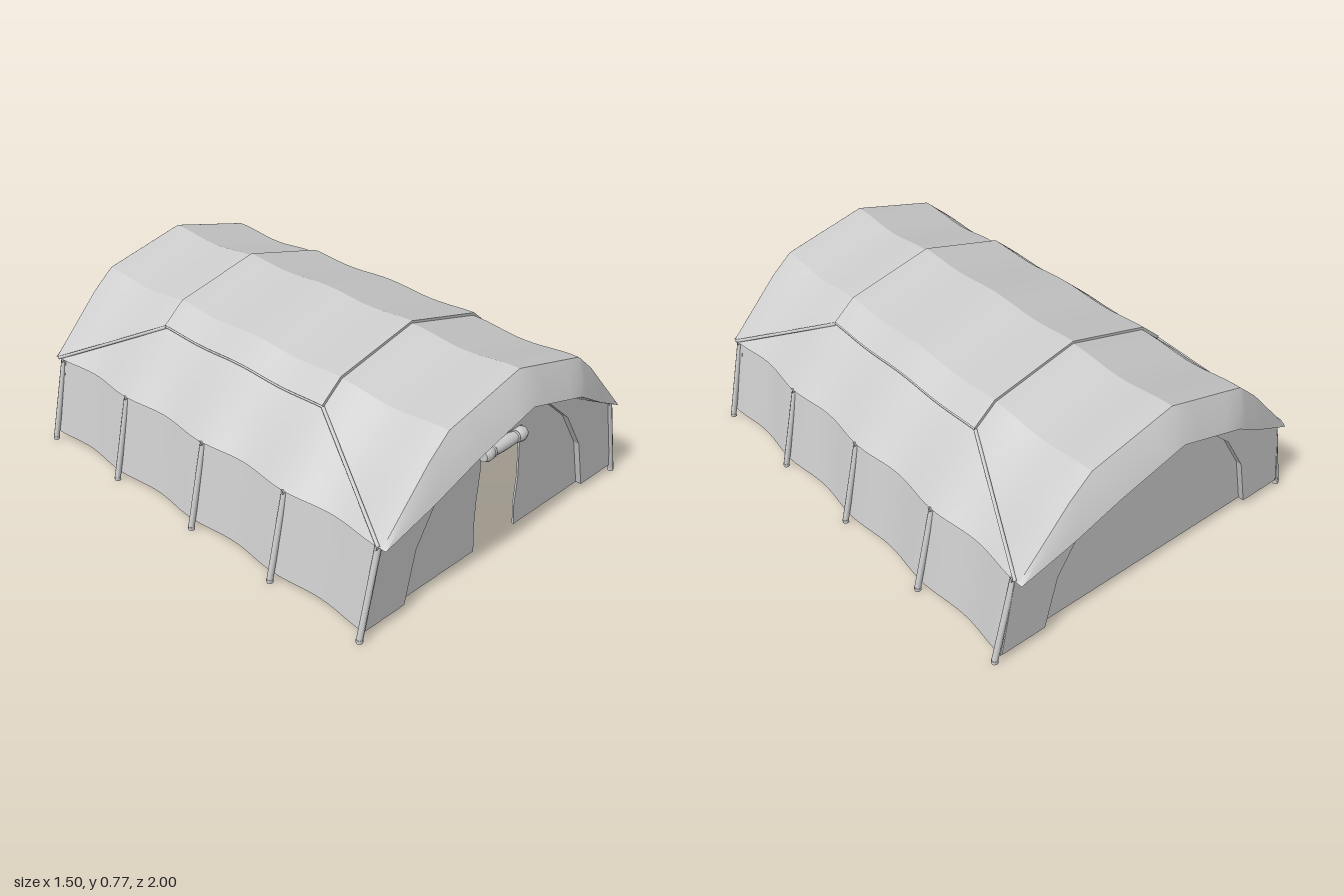
import * as THREE from 'three';
import { toCreasedNormals } from 'three/addons/utils/BufferGeometryUtils.js';

const cloth = new THREE.MeshStandardMaterial({ color: 0xcccccc, side: THREE.DoubleSide });
const solid = new THREE.MeshStandardMaterial({ color: 0xcccccc });
const BAY = 0.455, FLOOR = 0.032;
const POLE_Z = [0.9, 0.46, 0.02, -0.45, -0.89];

// Half profiles, eave to ridge: [x, y] or [x, y, z]
const ROOF = [[0.667, 0.355], [0.452, 0.588], [0.36, 0.667], [0, 0.757]];
const DIP = [0, 0.012, 0.017, 0.018];
const RIM = [[0.662, 0.35, 0.938], [0.47, 0.453, 0.972], [0.29, 0.56, 1], [0, 0.638, 1]];
const WALL_TOP = [[0.65, 0.345, 0.902], [0.46, 0.44, 0.902], [0.29, 0.535, 0.902], [0, 0.605, 0.902]];
const LINER = [[0.7, FLOOR], [0.632, 0.352], [0.437, 0.57], [0.352, 0.644], [0, 0.734]];

const { lerp } = THREE.MathUtils;
const V = (x, y, z = 0) => new THREE.Vector3(x, y, z);
const steps = (a, b, n) => Array.from({ length: n + 1 }, (_, i) => a + (b - a) * i / n);
// Canvas sag between two frames: 0 at a frame, 1 in the middle of a bay
const sag = z => Math.sin(Math.PI * z / BAY) ** 2;

function part(group, name, geometry, material = cloth) {
  const mesh = new THREE.Mesh(geometry, material);
  mesh.name = name;
  group.add(mesh);
  return mesh;
}

// Full left-to-right row of points from a half profile
function fullRow(half) {
  const right = half.map(([x, y, z]) => V(x, y, z));
  const left = half.slice(0, -1).map(([x, y, z]) => V(-x, y, z));
  return [...left, ...right.reverse()];
}

// Half profile with every segment split into four
function refine(half) {
  return steps(0, half.length - 1, (half.length - 1) * 4).map(t => {
    const i = Math.min(Math.floor(t), half.length - 2);
    return half[i].map((v, k) => lerp(v, half[i + 1][k], t - i));
  });
}

// Surface through rows of points
function loft(rows, crease = 0.4) {
  const n = rows[0].length, index = [];
  for (let i = 0; i < rows.length - 1; i++) {
    for (let j = 0; j < n - 1; j++) {
      const a = i * n + j, b = a + n;
      index.push(a, b, a + 1, a + 1, b, b + 1);
    }
  }
  const g = new THREE.BufferGeometry().setFromPoints(rows.flat());
  g.setIndex(index);
  return toCreasedNormals(g, crease);
}

// Roof point: t runs from the eave (0) to the ridge (3); the middle bays hang tighter
function roofPoint(t, z, side = 1, lift = 0) {
  const i = Math.min(Math.floor(t), 2), f = t - i;
  const slack = sag(z) * (Math.abs(z) < BAY ? 0.7 : 1);
  const x = lerp(ROOF[i][0], ROOF[i + 1][0], f);
  const y = lerp(ROOF[i][1], ROOF[i + 1][1], f) - lerp(DIP[i], DIP[i + 1], f) * slack;
  const inset = Math.max(0, 1 - t) * 0.022 * sag(z);
  return V(side * (x - inset + (x > 0 ? lift * 0.5 : 0)), y + lift, z);
}

function roofRow(z, ts, lift = 0) {
  const left = ts.slice(0, -1).map(t => roofPoint(t, z, -1, lift));
  return [...left, ...ts.map(t => roofPoint(t, z, 1, lift)).reverse()];
}

function rod(points, radius, segments = 1) {
  return new THREE.TubeGeometry(new THREE.CatmullRomCurve3(points), segments, radius, 8);
}

// Arch of the recessed end panel
const ARCH = [[0.52, FLOOR], [0.47, 0.24], [0.37, 0.4], [0.22, 0.53], [0, 0.565]];
const archPoints = () => fullRow(ARCH).map(p => new THREE.Vector2(p.x, p.y));

function buildEnd(hasDoor) {
  const end = new THREE.Group();

  // Projecting hood and its soffit
  const seam = ROOF.map(([x, y]) => [x, y, 0.925]);
  const mid = seam.map((p, i) => p.map((v, k) => (v + RIM[i][k]) / 2 + (k > 0 && i > 0 ? 0.004 : 0)));
  part(end, 'hood', loft([seam, mid, RIM].map(half => fullRow(refine(half)))));
  part(end, 'hoodUnderside', loft([RIM, WALL_TOP].map(half => fullRow(refine(half)))));

  // Gable wall up to the roof with an arched cut-out; its depth forms the reveal
  const gable = ROOF.map(([x, y]) => [Math.max(0, x - 0.006), y - 0.006]);
  const outline = [
    new THREE.Vector2(-0.715, FLOOR),
    ...fullRow(gable).map(p => new THREE.Vector2(p.x, p.y)),
    new THREE.Vector2(0.715, FLOOR),
    ...archPoints().reverse(),
  ];
  const frame = new THREE.ExtrudeGeometry(new THREE.Shape(outline), { depth: 0.03, bevelEnabled: false });
  part(end, 'endWall', frame.translate(0, 0, 0.872));

  // Recessed panel, with a slightly uneven doorway at the front
  const panel = archPoints();
  if (hasDoor) {
    panel.push(...[
      [0.117, FLOOR], [0.108, 0.12], [0.117, 0.25], [0.108, 0.38], [0.112, 0.47],
      [-0.118, 0.47], [-0.113, 0.38], [-0.125, 0.25], [-0.128, 0.15], [-0.121, FLOOR],
    ].map(([x, y]) => new THREE.Vector2(x, y)));
  }
  const panelGeo = new THREE.ExtrudeGeometry(new THREE.Shape(panel), { depth: 0.008, bevelEnabled: false });
  part(end, 'endPanel', panelGeo.translate(0, 0, 0.87));

  // Rolled-up door flap, pinched by two straps
  if (hasDoor) {
    const profile = [[0, -0.117], [0.022, -0.117], [0.029, -0.1], [0.027, -0.078], [0.021, -0.066],
      [0.024, -0.045], [0.025, 0], [0.024, 0.045], [0.021, 0.066], [0.027, 0.078],
      [0.029, 0.1], [0.022, 0.117], [0, 0.117]].map(([r, h]) => new THREE.Vector2(r, h));
    const roll = part(end, 'rolledDoor', toCreasedNormals(new THREE.LatheGeometry(profile, 14), 0.7));
    roll.rotation.z = Math.PI / 2;
    roll.position.set(-0.005, 0.445, 0.888);
    for (const x of [-0.071, 0.061]) {
      const strap = part(end, 'doorStrap', new THREE.TorusGeometry(0.022, 0.004, 6, 14), solid);
      strap.rotation.y = Math.PI / 2;
      strap.position.set(x, 0.445, 0.888);
    }
  }
  return end;
}

function buildSide(side) {
  const group = new THREE.Group();
  group.name = side > 0 ? 'leftSide' : 'rightSide';

  // Scalloped side wall
  const rows = steps(-0.902, 0.902, 48).map(z => {
    const s = sag(z);
    const ends = [V(side * (0.72 - 0.02 * s), FLOOR, z), V(side * (0.66 - 0.022 * s), 0.357, z)];
    return side > 0 ? ends.reverse() : ends;
  });
  part(group, 'sideWall', loft(rows));

  // Leaning poles with a small eave peg
  for (const z of POLE_Z) {
    part(group, 'pole', rod([V(side * 0.738, 0.003, z), V(side * 0.655, 0.355, z)], 0.012), solid);
    const foot = part(group, 'poleFoot', new THREE.CylinderGeometry(0.013, 0.013, 0.014, 8), solid);
    foot.position.set(side * 0.736, 0.007, z);
    part(group, 'eavePeg', rod([V(side * 0.645, 0.345, z), V(side * 0.674, 0.352, z)], 0.009), solid);
  }

  // Taut hip seams from the raised middle sheet to the corners
  for (const end of [-1, 1]) {
    const ends = [roofPoint(1, end * 0.44, side), roofPoint(0, end * 0.91, side)];
    part(group, 'hipSeam', rod(ends, 0.007), solid);
  }
  const seam = steps(-0.44, 0.44, 20).map(z => roofPoint(1, z, side, 0.002));
  part(group, 'sideSeam', rod(seam, 0.004, 30), solid);
  return group;
}

export function createModel() {
  const tent = new THREE.Group();
  tent.name = 'tent';

  // Main roof
  part(tent, 'roof', loft(steps(-0.925, 0.925, 48).map(z => roofRow(z, [0, 0.5, 1, 2, 3]))));

  // Raised middle sheet with a turned-down edge at each end
  const sheet = steps(-0.44, 0.44, 24).map(z => roofRow(z, [1, 2, 3], 0.01));
  const edge = z => roofRow(z, [1, 2, 3], 0);
  part(tent, 'middleSheet', loft([edge(-0.44), ...sheet, edge(0.44)]));

  // Smooth inner lining, close under the roof and walls
  const lining = [-0.872, 0.872].map(z => fullRow(LINER.map(([x, y]) => [x, y, z])));
  part(tent, 'innerLining', loft(lining, Math.PI));

  for (const side of [1, -1]) tent.add(buildSide(side));

  const front = buildEnd(true);
  front.name = 'frontEnd';
  const back = buildEnd(false);
  back.name = 'backEnd';
  back.rotation.y = Math.PI;
  tent.add(front, back);
  return tent;
}
